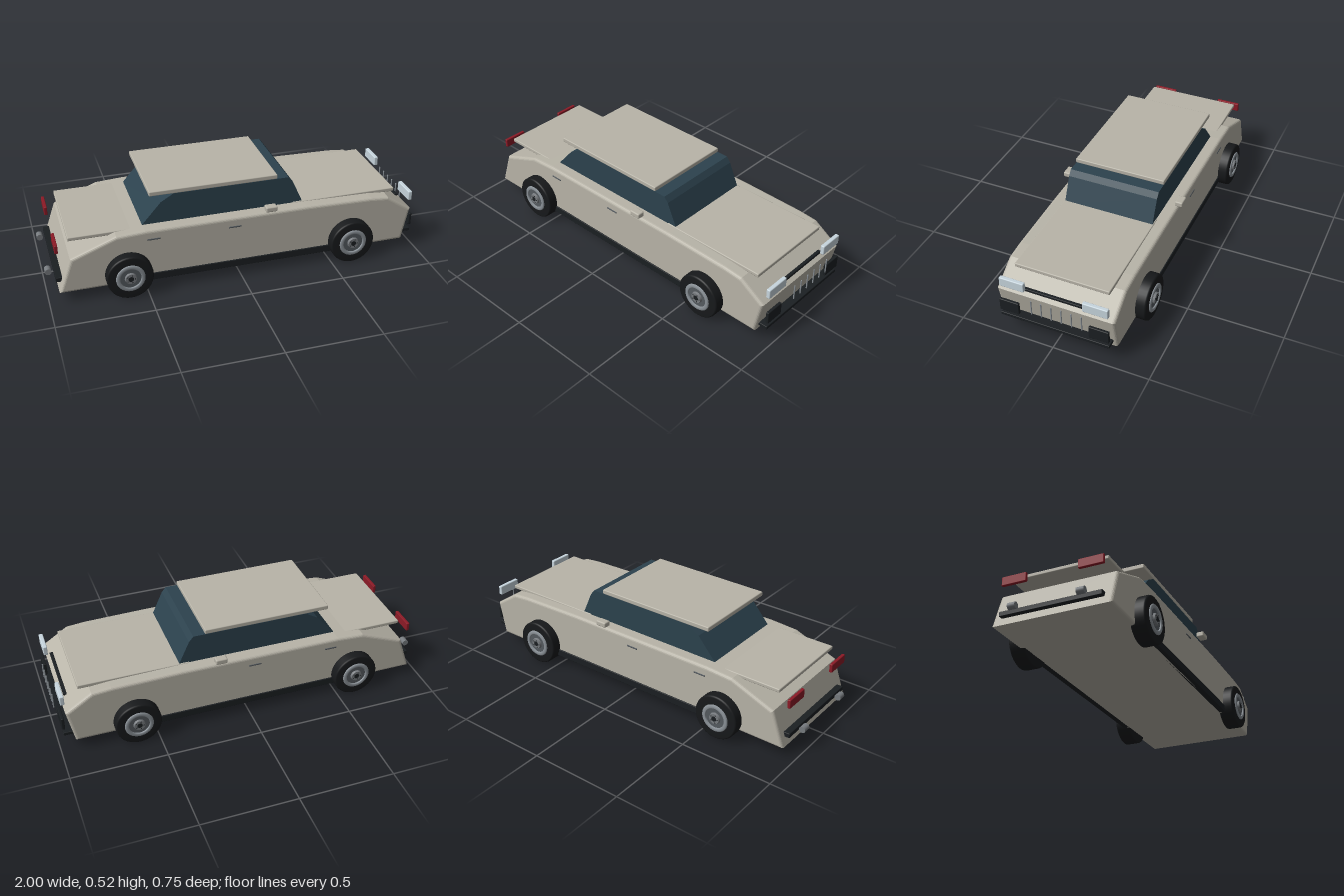
import * as THREE from 'three';
import { RoundedBoxGeometry } from 'three/addons/geometries/RoundedBoxGeometry.js';

const mat = (color) => new THREE.MeshStandardMaterial({ color });
const paint = mat(0xb8b4a8), glass = mat(0x2c424e), black = mat(0x1b1f22), rubber = mat(0x17191b),
  steel = mat(0x8b9298), darkSteel = mat(0x555b60), chrome = mat(0x777b7f), lamp = mat(0xc8d6de), red = mat(0x8c1a26);

export function createModel() {
  const car = new THREE.Group();
  car.name = 'car';

  function add(name, geometry, material, parent = car) {
    const mesh = new THREE.Mesh(geometry, material);
    mesh.name = name;
    parent.add(mesh);
    return mesh;
  }

  // Box given by its extents on each axis, with softened edges
  function block(name, [x0, x1], [y0, y1], [z0, z1], material, r = 0.003) {
    const mesh = add(name, new RoundedBoxGeometry(x1 - x0, y1 - y0, z1 - z0, 2, r), material);
    mesh.position.set((x0 + x1) / 2, (y0 + y1) / 2, (z0 + z1) / 2);
    return mesh;
  }

  // The same box on both sides of the car
  function pair(name, xs, ys, [z0, z1], material, r) {
    block(name + 'Left', xs, ys, [z0, z1], material, r);
    block(name + 'Right', xs, ys, [-z1, -z0], material, r);
  }

  // Side profile extruded across the car, bevel kept inside the outline
  function hull(name, points, halfWidth, bevel, material) {
    const shape = new THREE.Shape(points.map(([x, y]) => new THREE.Vector2(x, y)));
    const depth = 2 * (halfWidth - bevel);
    const geometry = new THREE.ExtrudeGeometry(shape, {
      depth, bevelEnabled: bevel > 0, bevelSize: bevel, bevelThickness: bevel, bevelOffset: -bevel, bevelSegments: 4,
    });
    geometry.translate(0, 0, -depth / 2);
    return add(name, geometry, material);
  }

  // Body shell, glasshouse and panels
  hull('body', [
    [-0.945, 0.058], [0.92, 0.058], [0.958, 0.242], [0.82, 0.332], [0.72, 0.341],
    [0.36, 0.348], [-0.5, 0.346], [-0.645, 0.337], [-0.88, 0.246],
  ], 0.31, 0.016, paint);
  hull('cabinGlass', [
    [-0.507, 0.335], [0.36, 0.335], [0.298, 0.472], [0.275, 0.5], [-0.335, 0.5], [-0.402, 0.46], [-0.507, 0.34],
  ], 0.243, 0, glass);
  block('roof', [-0.46, 0.213], [0.5, 0.525], [-0.245, 0.245], paint, 0.005);
  block('hood', [0.3, 0.877], [0.331, 0.352], [-0.249, 0.249], paint, 0.005);
  block('trunkLid', [-0.88, -0.5], [0.322, 0.342], [-0.258, 0.258], paint, 0.005);

  // Side trim
  pair('sill', [-0.5, 0.5], [0.058, 0.097], [0.28, 0.316], black);
  pair('mirror', [0.125, 0.186], [0.363, 0.392], [0.295, 0.337], paint, 0.007);
  for (const x of [-0.458, -0.033]) pair('doorHandle', [x - 0.033, x + 0.033], [0.291, 0.299], [0.3, 0.313], darkSteel, 0.002);

  // Front end
  pair('headlight', [0.952, 0.974], [0.278, 0.33], [0.152, 0.283], lamp, 0.005);
  pair('frontVent', [0.965, 0.981], [0.129, 0.197], [0.184, 0.288], black, 0.004);
  block('grilleTop', [0.923, 0.94], [0.256, 0.271], [-0.183, 0.183], black);
  block('frontBumper', [0.925, 0.977], [0.09, 0.108], [-0.288, 0.288], black);
  for (let i = 0; i < 6; i++) {
    const bar = add('grilleBar', new THREE.CapsuleGeometry(0.0035, 0.08, 4, 8), steel);
    bar.position.set(0.993, 0.219, 0.106 - i * 0.0526);
  }

  // Rear end
  pair('tailLight', [-0.948, -0.931], [0.265, 0.312], [0.135, 0.267], red, 0.004);
  block('rearBumper', [-0.955, -0.91], [0.1, 0.125], [-0.265, 0.265], black);
  for (const s of [1, -1]) {
    const tip = add('exhaustTip', new THREE.CylinderGeometry(0.017, 0.017, 0.04, 20), chrome);
    tip.rotation.x = Math.PI / 2;
    tip.position.set(-0.983, 0.123, s * 0.176);
  }

  // Wheels, with the outer side facing +z before placement
  const tireProfile = [
    [0.07, 0], [0.112, 0], [0.118, 0.004], [0.12, 0.01], [0.12, 0.074], [0.118, 0.08], [0.112, 0.084], [0.07, 0.084],
  ].map(([r, y]) => new THREE.Vector2(r, y));
  const ringProfile = [[0.054, 0.07], [0.054, 0.088], [0.058, 0.091], [0.07, 0.091], [0.075, 0.086], [0.075, 0.07]]
    .map(([r, y]) => new THREE.Vector2(r, y));

  function wheel(name, x, side) {
    const group = new THREE.Group();
    group.name = name;
    const lay = (part, geometry, material, z = 0) => {
      geometry.rotateX(Math.PI / 2);
      add(part, geometry, material, group).position.z = z;
    };
    lay('tire', new THREE.LatheGeometry(tireProfile, 40), rubber);
    lay('innerCap', new THREE.CylinderGeometry(0.071, 0.071, 0.004, 32), rubber, 0.003);
    lay('rimRing', new THREE.LatheGeometry(ringProfile, 40), steel);
    lay('rimDisc', new THREE.CylinderGeometry(0.057, 0.057, 0.07, 32), darkSteel, 0.048);
    lay('hub', new THREE.CylinderGeometry(0.028, 0.032, 0.014, 24), chrome, 0.087);
    lay('hubCap', new THREE.CylinderGeometry(0.014, 0.014, 0.006, 16), black, 0.0925);
    for (let i = 0; i < 5; i++) {
      const a = (i / 5) * Math.PI * 2;
      const nut = add('lugNut', new THREE.SphereGeometry(0.004, 8, 6), black, group);
      nut.position.set(0.021 * Math.cos(a), 0.021 * Math.sin(a), 0.093);
    }
    group.position.set(x, 0.12, side * 0.28);
    if (side < 0) group.rotation.y = Math.PI;
    car.add(group);
  }
  for (const [name, x] of [['front', 0.606], ['rear', -0.594]]) {
    wheel(name + 'WheelLeft', x, 1);
    wheel(name + 'WheelRight', x, -1);
  }

  // Lathe parts keep both faces visible
  for (const m of [rubber, steel]) m.side = THREE.DoubleSide;
  return car;
}
